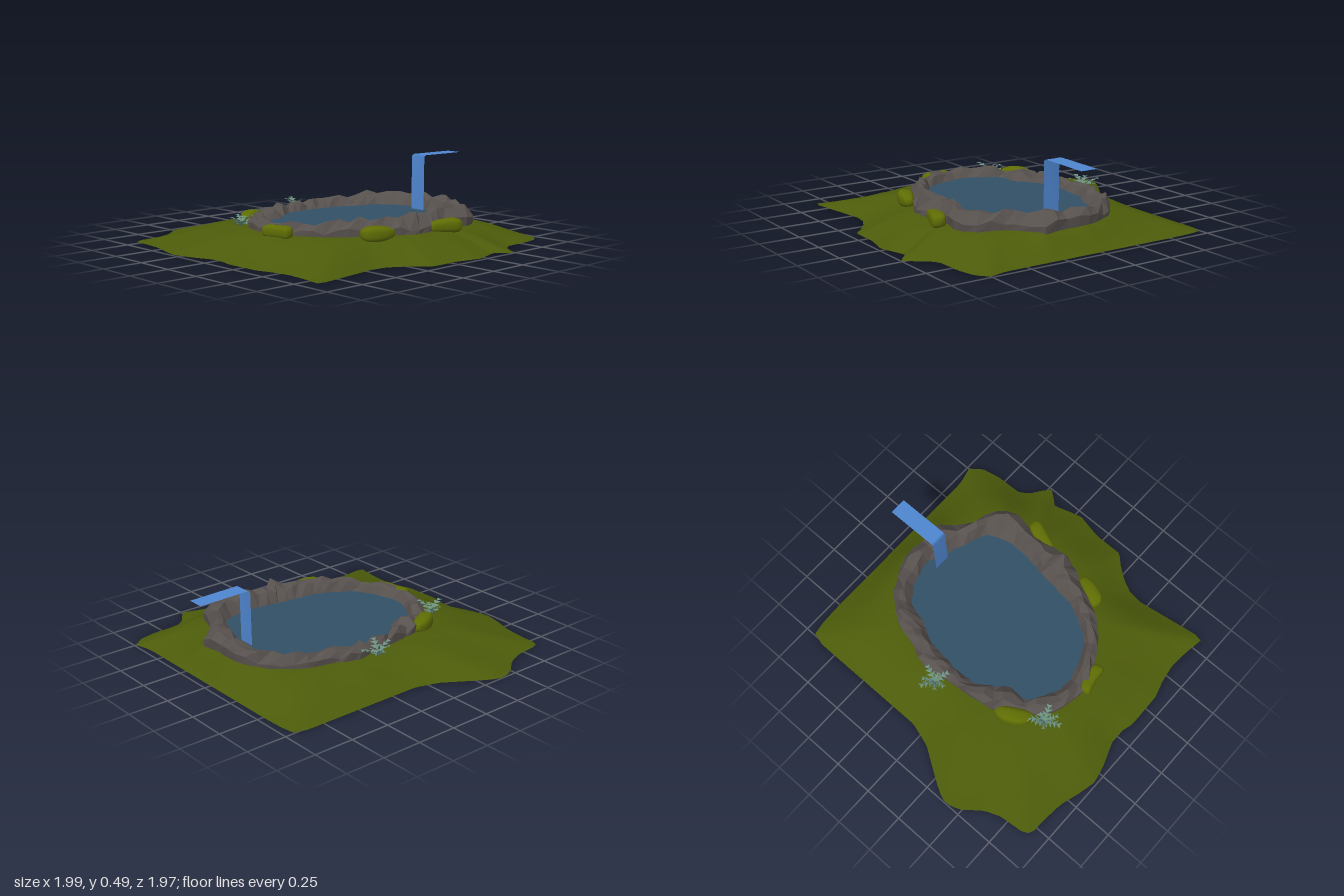
import * as THREE from 'three';

const mat = (name, color, extra = {}) => {
  const m = new THREE.MeshStandardMaterial({ color, ...extra });
  m.name = name;
  return m;
};
const CX = 0.08, CZ = -0.12; // pond centre

// Outlines as x, z pairs
const GROUND = [-0.74, -0.94, -0.65, -0.955, -0.5, -0.96, 0.55, -0.96, 0.64, -0.96, 0.7, -0.975, 0.75, -0.99, 0.81, -0.92,
  0.835, -0.8, 0.84, -0.63, 0.88, -0.57, 0.94, -0.53, 1, -0.48, 0.92, -0.39, 0.95, -0.3, 0.975, -0.21, 0.94, -0.05,
  0.94, 0.14, 0.88, 0.2, 0.82, 0.28, 0.78, 0.36, 0.77, 0.45, 0.8, 0.65, 0.83, 0.85, 0.82, 0.9, 0.7, 0.88, 0.57, 0.87,
  0.45, 0.89, 0.35, 0.92, 0.12, 0.925, 0.05, 0.905, -0.05, 0.905, -0.2, 0.96, -0.31, 0.985, -0.42, 0.96, -0.55, 0.92,
  -0.7, 0.905, -0.8, 0.905, -0.825, 0.85, -0.84, 0.7, -0.88, 0.6, -0.97, 0.49, -1, 0.4, -0.97, 0.32, -0.9, 0.21,
  -0.81, 0.07, -0.765, -0.08, -0.765, -0.86];
const INNER = [-0.13, -0.65, 0.04, -0.7, 0.18, -0.63, 0.32, -0.59, 0.45, -0.53, 0.49, -0.35, 0.47, -0.19, 0.44, 0,
  0.43, 0.13, 0.37, 0.27, 0.3, 0.38, 0.16, 0.44, 0, 0.48, -0.13, 0.43, -0.23, 0.35, -0.22, 0.23, -0.34, 0.08,
  -0.36, -0.05, -0.34, -0.19, -0.33, -0.32, -0.25, -0.45, -0.24, -0.56];
const OUTER = [-0.25, -0.72, -0.13, -0.78, 0, -0.82, 0.1, -0.8, 0.29, -0.82, 0.35, -0.72, 0.46, -0.64, 0.62, -0.59,
  0.655, -0.48, 0.62, -0.32, 0.64, -0.16, 0.66, -0.05, 0.61, 0.05, 0.54, 0.16, 0.47, 0.32, 0.38, 0.43, 0.22, 0.53,
  0.03, 0.59, -0.16, 0.55, -0.26, 0.47, -0.4, 0.29, -0.425, 0.13, -0.45, -0.08, -0.48, -0.27, -0.425, -0.37,
  -0.39, -0.53, -0.32, -0.64];

// Distance from the pond centre to an outline along angle a
function reach(outline, a) {
  const dx = Math.cos(a), dz = Math.sin(a), n = outline.length;
  let best = 0;
  for (let i = 0; i < n; i += 2) {
    const ax = outline[i] - CX, az = outline[i + 1] - CZ;
    const ex = outline[(i + 2) % n] - CX - ax, ez = outline[(i + 3) % n] - CZ - az;
    const den = dx * ez - dz * ex;
    if (Math.abs(den) < 1e-9) continue;
    const r = (ax * ez - az * ex) / den, s = (ax * dz - az * dx) / den;
    if (r > 0 && s >= -1e-6 && s <= 1 + 1e-6) best = Math.max(best, r);
  }
  return best;
}

function seeded(seed) {
  return () => {
    seed = (seed * 16807) % 2147483647;
    return seed / 2147483647;
  };
}

// Grid around the pond: point(i, j, angle) returns [radius, y]
function ringGrid(segs, rows, point, { closed = false, flip = false } = {}) {
  const pos = [], index = [];
  for (let i = 0; i < segs; i++) {
    const a = (i / segs) * Math.PI * 2;
    for (let j = 0; j < rows; j++) {
      const [r, y] = point(i, j, a);
      pos.push(CX + Math.cos(a) * r, y, CZ + Math.sin(a) * r);
    }
  }
  const id = (i, j) => (i % segs) * rows + (j % rows);
  for (let i = 0; i < segs; i++) {
    for (let j = 0; j < (closed ? rows : rows - 1); j++) {
      const q = [id(i, j), id(i + 1, j), id(i + 1, j + 1), id(i, j + 1)];
      if (flip) q.reverse();
      index.push(q[0], q[1], q[2], q[0], q[2], q[3]);
    }
  }
  const g = new THREE.BufferGeometry();
  g.setAttribute('position', new THREE.Float32BufferAttribute(pos, 3));
  g.setIndex(index);
  g.computeVertexNormals();
  return g;
}

const between = (a, f) => THREE.MathUtils.lerp(reach(INNER, a), reach(OUTER, a), f);

// Rounded lumpy cushion
function cushion(rand) {
  const g = new THREE.SphereGeometry(1, 20, 14), p = g.attributes.position;
  const k = rand() * 6;
  const sq = (v) => Math.sign(v) * Math.pow(Math.abs(v), 0.7);
  for (let i = 0; i < p.count; i++) {
    const x = p.getX(i), y = p.getY(i), z = p.getZ(i);
    const b = 1 + 0.12 * Math.sin(3 * x + k);
    p.setXYZ(i, sq(x), sq(y) * b, sq(z) * b + 0.25 * Math.sin(2.2 * x + k));
  }
  g.computeVertexNormals();
  return g;
}

// Arching fern frond with broad paired leaflets, growing along +x
function frond(length) {
  const pos = [], steps = 4;
  const at = (t) => [length * t, length * (0.85 * t - 0.55 * t * t)];
  for (let k = 0; k < steps; k++) {
    const t = k / steps, [x0, y0] = at(t), [x1, y1] = at(t + 1 / steps);
    const w = length * 0.36 * (1 - 0.7 * t);
    const tip = (s) => [x1 + w * 0.2, y1 - w * 0.2, s * w];
    pos.push(...tip(1), x1, y1, 0, x0, y0, 0, x0, y0, 0, x1, y1, 0, ...tip(-1));
  }
  const g = new THREE.BufferGeometry();
  g.setAttribute('position', new THREE.Float32BufferAttribute(pos, 3));
  g.computeVertexNormals();
  return g;
}

export function createModel() {
  const model = new THREE.Group();
  model.name = 'gardenPond';
  const grass = mat('grass green', 0x4c5b0a, { side: THREE.DoubleSide });
  const rock = mat('rock grey', 0x57514e, { flatShading: true });
  const pondBlue = mat('pond blue', 0x325066);
  const streamBlue = mat('stream blue', 0x4f86d0, { side: THREE.DoubleSide });
  const moss = mat('moss green', 0x5f6d04);
  const fern = mat('fern green', 0x6a9080, { side: THREE.DoubleSide });
  const add = (name, geo, material, parent = model) => {
    const m = new THREE.Mesh(geo, material);
    m.name = name;
    parent.add(m);
    return m;
  };

  // Grassy mound with a hole for the pond
  add('ground', ringGrid(200, 12, (i, j, a) => {
    const t = j / 11;
    const r = THREE.MathUtils.lerp(between(a, 0.74), reach(GROUND, a), t);
    return [r, 0.125 * (1 - t) * (1 + 0.9 * t - t * t)];
  }), grass);

  // Faceted rock rim
  const rand = seeded(77);
  const section = [[0.3, 0.15], [0, 0.13], [0.3, 0.94], [0.68, 1], [1, 0.16], [0.98, 0.105], [0.8, 0.145]];
  let lift = 0, push = 0;
  add('rockRim', ringGrid(58, 7, (i, j, a) => {
    if (j === 0) {
      lift = (rand() - 0.5) * 0.025 + 0.012 * Math.sin(i * 2.1);
      push = (rand() - 0.5) * 0.2;
    }
    const [f, y] = section[j];
    const top = 0.203 + 0.02 * Math.cos(a + 0.1) - 0.012 * Math.sin(a) + lift;
    const isTop = j === 2 || j === 3;
    const jitter = rand() - 0.5;
    return [between(a, f + (isTop ? push + jitter * 0.25 : jitter * 0.08)),
      isTop ? y * top + (rand() - 0.5) * 0.016 : y + (j === 4 ? jitter * 0.05 : 0)];
  }, { closed: true }), rock);

  // Water surface, its underside and the pond bed
  const disc = (y, flip) => ringGrid(36, 3, (i, j, a) => [between(a, 0.76) * j / 2, y], { flip });
  add('waterSurface', disc(0.137, false), pondBlue);
  add('waterUnderside', disc(0.132, true), streamBlue);
  add('pondBed', ringGrid(24, 3, (i, j, a) =>
    [(0.38 - 0.035 * Math.sin(2 * a) + 0.012 * Math.sin(5 * a)) * j / 2, 0.05 + 0.012 * j], { flip: true }), rock);

  // Falling stream: a thin bent sheet
  const path = [[-0.97, 0.48], [-0.645, 0.485], [-0.628, 0.475], [-0.625, 0.135]];
  const sheet = new THREE.PlaneGeometry(0.106, 1, 1, 3);
  path.forEach(([z, y], k) => [-1, 1].forEach((s, e) =>
    sheet.attributes.position.setXYZ(k * 2 + e, 0.102 + s * 0.053, y, z)));
  sheet.computeVertexNormals();
  add('waterfall', sheet, streamBlue);

  // Moss cushions: x, z, half length, turn
  [[0.652, -0.275, 0.108, 1.4], [0.565, 0.2, 0.105, 1.05], [0.135, 0.575, 0.1, 0.2], [-0.345, 0.365, 0.12, -1.05]]
    .forEach(([x, z, len, turn], i) => {
      const m = add('mossCushion' + (i + 1), cushion(rand), moss);
      m.position.set(x, 0.142, z);
      m.scale.set(len, 0.042, 0.045);
      m.rotation.y = turn;
    });

  // Fern tufts
  [[-0.5, -0.13], [-0.25, 0.53]].forEach(([x, z], i) => {
    const tuft = new THREE.Group();
    tuft.name = 'fernTuft' + (i + 1);
    tuft.position.set(x, 0.125, z);
    for (let k = 0; k < 7; k++) {
      const f = add('frond', frond(0.075 + 0.04 * rand()), fern, tuft);
      f.rotation.set(0, k * 0.9 + rand() * 0.5, 0.1 + rand() * 0.4);
    }
    model.add(tuft);
  });

  return model;
}
